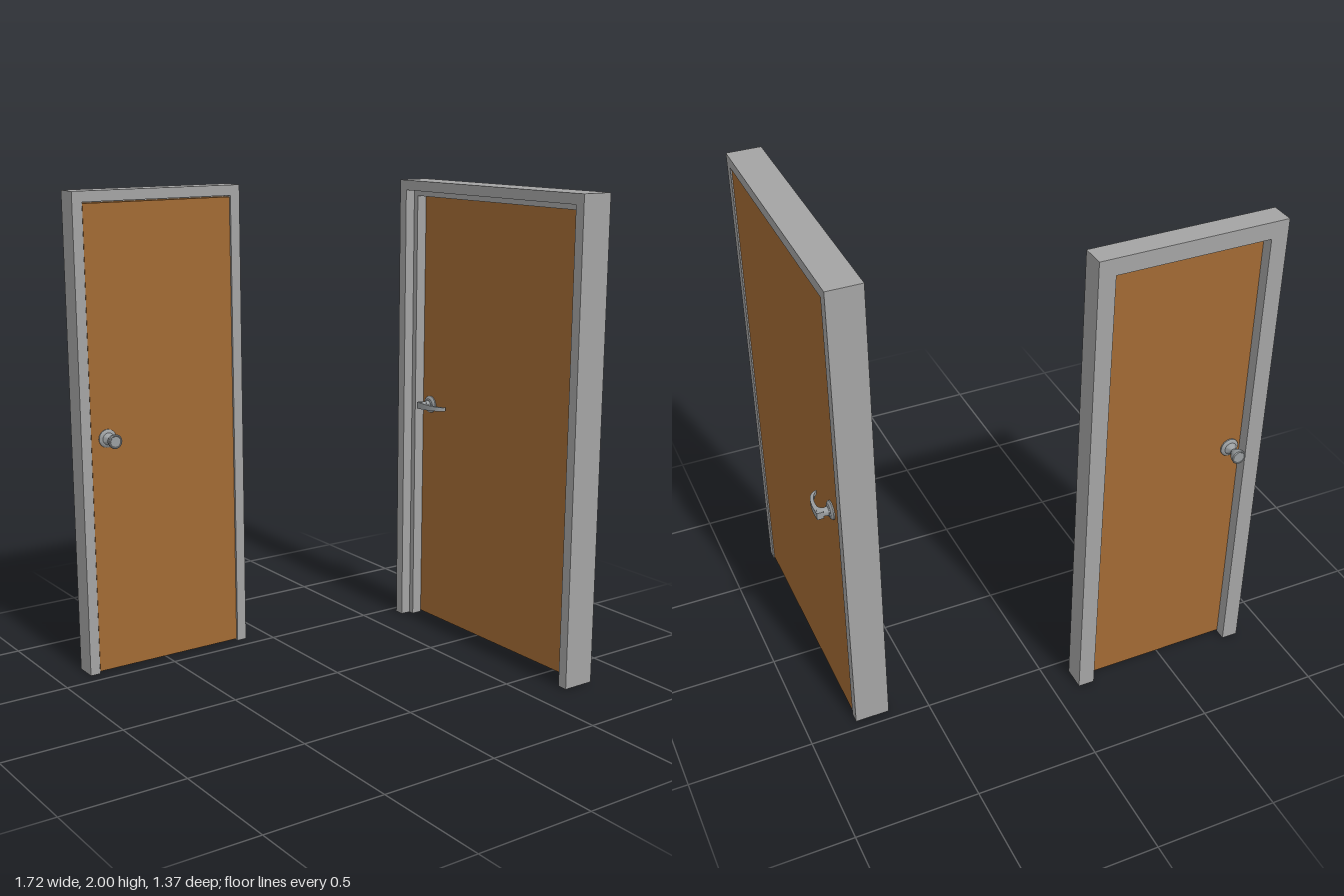
import * as THREE from 'three';
import { toCreasedNormals } from 'three/addons/utils/BufferGeometryUtils.js';

const frameGrey = new THREE.MeshStandardMaterial({ color: 0xa4a4a4 });
frameGrey.name = 'frame grey';
const doorBrown = new THREE.MeshStandardMaterial({ color: 0xa26a34 });
doorBrown.name = 'door brown';
const metalGrey = new THREE.MeshStandardMaterial({ color: 0x9a9ea0 });
metalGrey.name = 'metal grey';

const HEIGHT = 2, FACE = 0.043, STOP = 0.025, GAP = 0.003;
const RABBET = 0.048, STOP_DEPTH = 0.047, LEAF = 0.045, RECESS = 0.004;

function part(name, geometry, material) {
  const mesh = new THREE.Mesh(geometry, material);
  mesh.name = name;
  return mesh;
}

// Upside-down U (two jambs and a head), extruded from z0 back to z1
function frameSlice(width, thick, zFront, zBack) {
  const o = width / 2, i = o - thick, t = HEIGHT - thick;
  const shape = new THREE.Shape([
    [-o, 0], [-i, 0], [-i, t], [i, t], [i, 0], [o, 0], [o, HEIGHT], [-o, HEIGHT],
  ].map(([x, y]) => new THREE.Vector2(x, y)));
  const geometry = new THREE.ExtrudeGeometry(shape, { depth: zFront - zBack, bevelEnabled: false });
  return geometry.translate(0, 0, zBack);
}

// Turned part standing out along +z from [radius, height] pairs
function turned(profile) {
  const points = profile.map(([r, h]) => new THREE.Vector2(r, h));
  return toCreasedNormals(new THREE.LatheGeometry(points, 32).rotateX(Math.PI / 2), 0.6);
}

const ROSETTE = [[0, 0], [0.038, 0], [0.038, 0.005], [0.033, 0.01], [0.025, 0.012], [0.022, 0.016]];

function knobHandle() {
  const group = new THREE.Group();
  group.add(part('rosette', turned([...ROSETTE, [0, 0.016]]), metalGrey));
  group.add(part('knob', turned([
    [0.022, 0.016], [0.013, 0.025], [0.011, 0.032], [0.017, 0.041], [0.024, 0.051],
    [0.028, 0.062], [0.03, 0.075], [0.027, 0.079], [0.024, 0.079], [0.022, 0.077], [0, 0.077],
  ]), metalGrey));
  return group;
}

function leverHandle() {
  const group = new THREE.Group();
  group.add(part('rosette', turned([...ROSETTE, [0, 0.016]]), metalGrey));
  group.add(part('leverNeck', turned([[0.019, 0.012], [0.016, 0.03], [0.016, 0.058], [0, 0.058]]), metalGrey));

  // Curved blade drawn in plan, bending back to the door at its tip
  const blade = new THREE.Shape();
  blade.moveTo(0.018, 0.036);
  blade.lineTo(0.018, 0.063);
  blade.lineTo(-0.02, 0.064);
  blade.bezierCurveTo(-0.07, 0.062, -0.118, 0.055, -0.127, 0.016);
  blade.lineTo(-0.121, 0.018);
  blade.bezierCurveTo(-0.1, 0.042, -0.06, 0.05, -0.03, 0.047);
  blade.quadraticCurveTo(-0.016, 0.046, -0.012, 0.032);
  blade.closePath();
  const geometry = new THREE.ExtrudeGeometry(blade, { depth: 1, bevelEnabled: false, curveSegments: 12 });
  geometry.translate(0, 0, -0.5).rotateX(Math.PI / 2);
  // Blade height tapers toward the tip
  const p = geometry.attributes.position;
  for (let i = 0; i < p.count; i++) {
    const t = THREE.MathUtils.clamp((0.018 - p.getX(i)) / 0.145, 0, 1);
    p.setY(i, p.getY(i) * THREE.MathUtils.lerp(0.03, 0.016, t));
  }
  group.add(part('leverBlade', toCreasedNormals(geometry, 0.6), metalGrey));
  return group;
}

// Door whose frame front lies at local z = 0
function door(name, width, depth, handleX, makeHandle) {
  const group = new THREE.Group();
  group.name = name;

  // Frame with a projecting stop behind the leaf, and a rear rabbet if deep enough
  const stopBack = Math.min(RABBET + STOP_DEPTH, depth);
  group.add(part('frameFront', frameSlice(width, FACE, 0, -RABBET), frameGrey));
  group.add(part('frameStop', frameSlice(width, FACE + STOP, -RABBET, -stopBack), frameGrey));
  if (depth > stopBack) group.add(part('frameBack', frameSlice(width, FACE, -stopBack, -depth), frameGrey));

  // Leaf
  const bottom = 0.008, top = HEIGHT - FACE - GAP * 2;
  const leaf = part('doorLeaf',
    new THREE.BoxGeometry(width - 2 * (FACE + GAP), top - bottom, LEAF - 0.001), doorBrown);
  leaf.position.set(0, (top + bottom) / 2, -RECESS - LEAF / 2);
  group.add(leaf);

  // Handles on both faces
  const front = makeHandle(), back = makeHandle();
  front.name = 'frontHandle';
  back.name = 'backHandle';
  front.position.set(handleX, 1.003, -RECESS);
  back.position.set(handleX, 1.003, -RECESS - LEAF);
  back.rotation.x = Math.PI;
  group.add(front, back);
  return group;
}

export function createModel() {
  const model = new THREE.Group();
  model.name = 'doors';

  const narrow = door('knobDoor', 0.758, 0.095, -0.263, knobHandle);
  narrow.position.set(-0.485, 0, -0.56);

  const wide = door('leverDoor', 1.142, 0.14, 0.45, leverHandle);
  wide.position.set(0.8, 0, 0.111);
  wide.rotation.y = Math.PI / 2;

  model.add(narrow, wide);
  return model;
}
